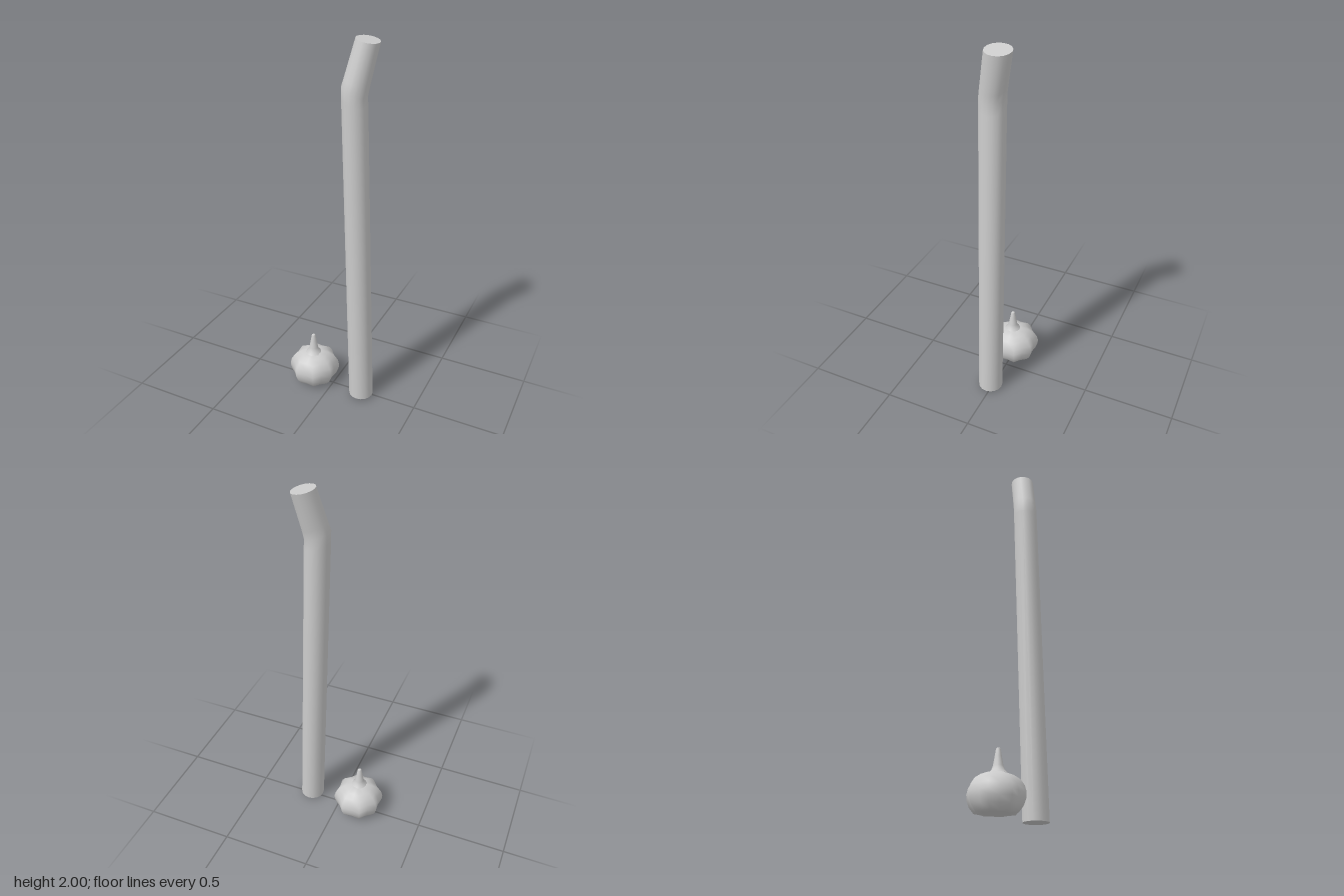
import * as THREE from 'three';
import { mergeVertices, toCreasedNormals } from 'three/addons/utils/BufferGeometryUtils.js';

const material = new THREE.MeshStandardMaterial({ color: 0xcccccc });

function addMesh(parent, name, geometry) {
  const mesh = new THREE.Mesh(geometry, material);
  mesh.name = name;
  parent.add(mesh);
  return mesh;
}

// Bent pole: each ring has a centre, a half width in x and a drop across x
function poleGeometry() {
  const rings = [
    { c: [0.183, 0.008, 0.013], rx: 0.067, drop: 0 },
    { c: [0.118, 1.7, 0.013], rx: 0.064, drop: 0.022 },
    { c: [0.116, 1.755, 0.013], rx: 0.063, drop: 0.023 },
    { c: [0.124, 1.8, 0.004], rx: 0.061, drop: 0.02 },
    { c: [0.159, 1.989, -0.036], rx: 0.057, drop: 0.011 },
  ];
  const spans = rings.length - 1;
  const g = new THREE.CylinderGeometry(1, 1, spans, 16, spans);
  const p = g.attributes.position;
  for (let i = 0; i < p.count; i++) {
    const { c, rx, drop } = rings[Math.round(p.getY(i) + spans / 2)];
    const x = p.getX(i), z = p.getZ(i);
    p.setXYZ(i, c[0] + x * rx, c[1] - x * drop, c[2] + z * 0.067);
  }
  return toCreasedNormals(g, 0.6);
}

// Gourd body: a lathe whose valleys are pulled in between eight ridges
function gourdGeometry() {
  const profile = [
    [0, 0], [0.03, 0.012], [0.07, 0.01], [0.106, 0.012], [0.128, 0.04], [0.14, 0.072],
    [0.142, 0.1], [0.134, 0.13], [0.113, 0.16], [0.082, 0.18], [0.045, 0.194], [0, 0.19],
  ].map(([r, y]) => new THREE.Vector2(r, y));
  let g = new THREE.LatheGeometry(profile, 16);
  const p = g.attributes.position;
  for (let i = 0; i < p.count; i++) {
    const x = p.getX(i), z = p.getZ(i);
    const valley = (1 + Math.cos(8 * Math.atan2(x, z))) / 2;
    const k = 1 - 0.12 * valley;
    p.setXYZ(i, x * k, p.getY(i), z * k);
  }
  g.deleteAttribute('normal');
  g.deleteAttribute('uv');
  g = mergeVertices(g, 1e-5);
  g.computeVertexNormals();
  return g;
}

export function createModel() {
  const model = new THREE.Group();
  model.name = 'poleAndGourd';

  addMesh(model, 'pole', poleGeometry());

  const gourd = new THREE.Group();
  gourd.name = 'gourd';
  gourd.position.x = -0.12;
  model.add(gourd);
  addMesh(gourd, 'gourdBody', gourdGeometry());

  // Stem flares into the body and tapers to a blunt tip
  const stemProfile = [
    [0.046, 0.19], [0.032, 0.206], [0.025, 0.225], [0.017, 0.27], [0.011, 0.305], [0.007, 0.31], [0, 0.31],
  ].map(([r, y]) => new THREE.Vector2(r, y));
  addMesh(gourd, 'gourdStem', new THREE.LatheGeometry(stemProfile, 12)).position.z = 0.01;

  return model;
}
